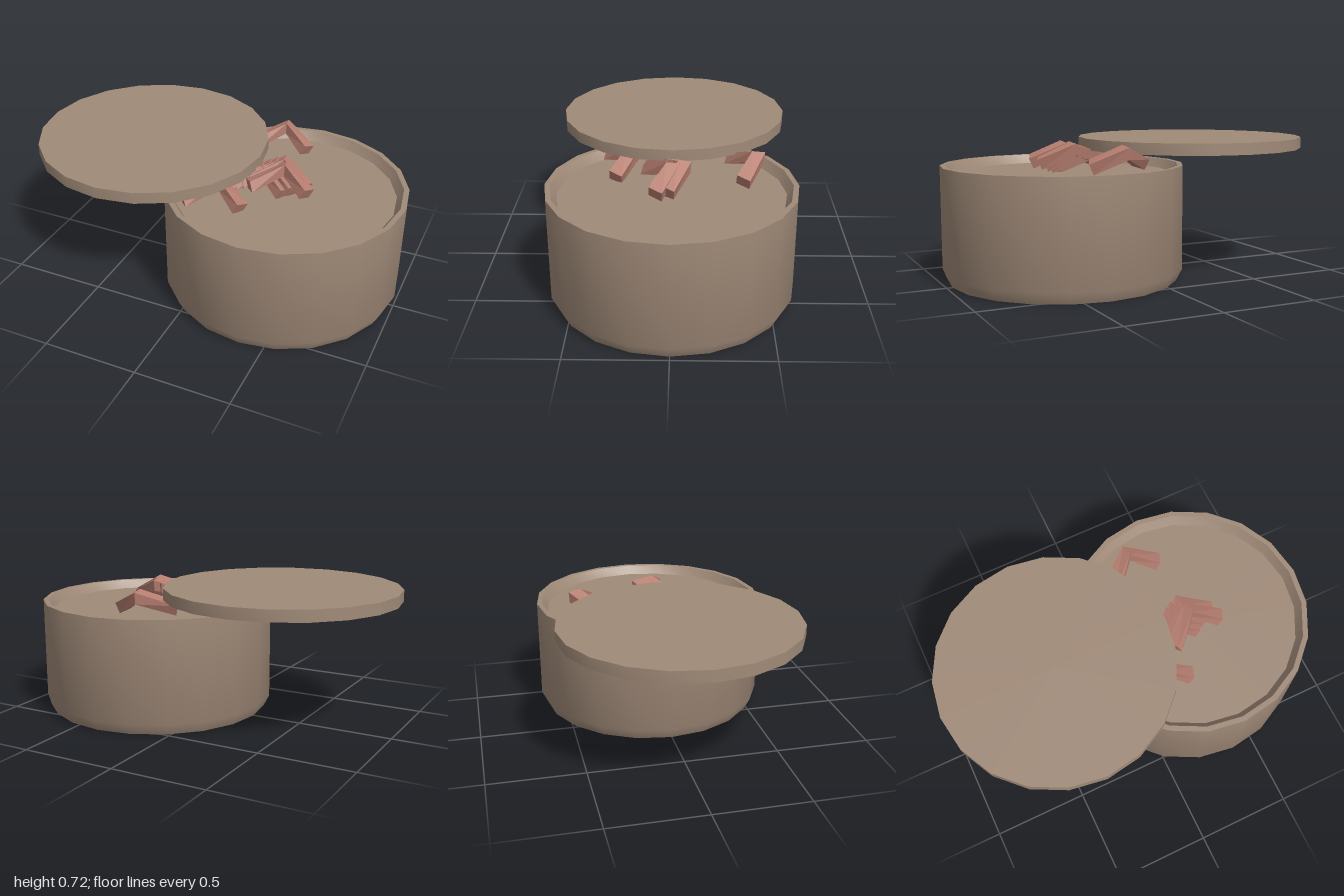
import * as THREE from 'three';
import { toCreasedNormals } from 'three/addons/utils/BufferGeometryUtils.js';

const SIDES = 20;

// Turned solid with smooth sides and sharp rims
function turned(profile, material, name) {
  const points = profile.map(([r, y]) => new THREE.Vector2(r, y));
  const mesh = new THREE.Mesh(toCreasedNormals(new THREE.LatheGeometry(points, SIDES), 0.9), material);
  mesh.name = name;
  return mesh;
}

// Bent bar: cross-sections at left end, bend and right end, joined by quads.
// Corners run back top, front top, front bottom, back bottom; origin at the bend's back top.
function bentBarGeometry() {
  const sections = [
    { back: [-0.175, -0.075, 0.13], front: [-0.13, -0.058, 0.185], down: [0.02, -0.052, 0.015] },
    { back: [0, 0, 0], front: [0.01, 0.01, 0.066], down: [0, -0.06, 0.005] },
    { back: [0.178, -0.082, 0.084], front: [0.15, -0.062, 0.148], down: [-0.026, -0.053, 0.002] },
  ].map(({ back, front, down }) => {
    const b = new THREE.Vector3(...back), f = new THREE.Vector3(...front), d = new THREE.Vector3(...down);
    return [b, f, f.clone().add(d), b.clone().add(d)];
  });
  const corners = [];
  const quad = (a, b, c, d) => corners.push(a, b, c, a, c, d);
  for (let s = 0; s < 2; s++) {
    for (let j = 0; j < 4; j++) {
      const k = (j + 1) % 4;
      quad(sections[s][k], sections[s + 1][k], sections[s + 1][j], sections[s][j]);
    }
  }
  quad(...sections[2]);
  quad(...[...sections[0]].reverse());
  const geometry = new THREE.BufferGeometry().setFromPoints(corners);
  geometry.computeVertexNormals();
  return geometry;
}

export function createModel() {
  const model = new THREE.Group();
  model.name = 'openPot';
  const clay = new THREE.MeshStandardMaterial({ name: 'brown clay', color: 0xa08a78 });
  const pink = new THREE.MeshStandardMaterial({ name: 'dusty pink', color: 0xb57d6f });

  // Pot with chamfered foot and shallow filled top
  const pot = turned(
    [[0, 0], [0.6, 0], [0.63, 0.06], [0.63, 0.6], [0.603, 0.6], [0.572, 0.553], [0, 0.553]],
    clay, 'pot');
  pot.position.x = 0.37;
  model.add(pot);

  // Lid slid to one side
  const lid = turned([[0, 0], [0.614, 0], [0.614, 0.06], [0, 0.06]], clay, 'lid');
  lid.position.set(-0.386, 0.664, 0);
  model.add(lid);

  // Bent bars lying on the filling, some bunched together
  const contents = new THREE.Group();
  contents.name = 'contents';
  const barGeometry = bentBarGeometry();
  const spots = [
    [0.21, 0.71, -0.47], [0.088, 0.677, 0.172],
    [0.335, 0.708, -0.097], [0.361, 0.71, -0.04],
    [0.297, 0.695, -0.083], [0.265, 0.685, -0.067], [0.233, 0.675, -0.045],
  ];
  spots.forEach((spot, i) => {
    const bar = new THREE.Mesh(barGeometry, pink);
    bar.name = `bentBar${i + 1}`;
    bar.position.set(...spot);
    contents.add(bar);
  });
  model.add(contents);
  return model;
}
